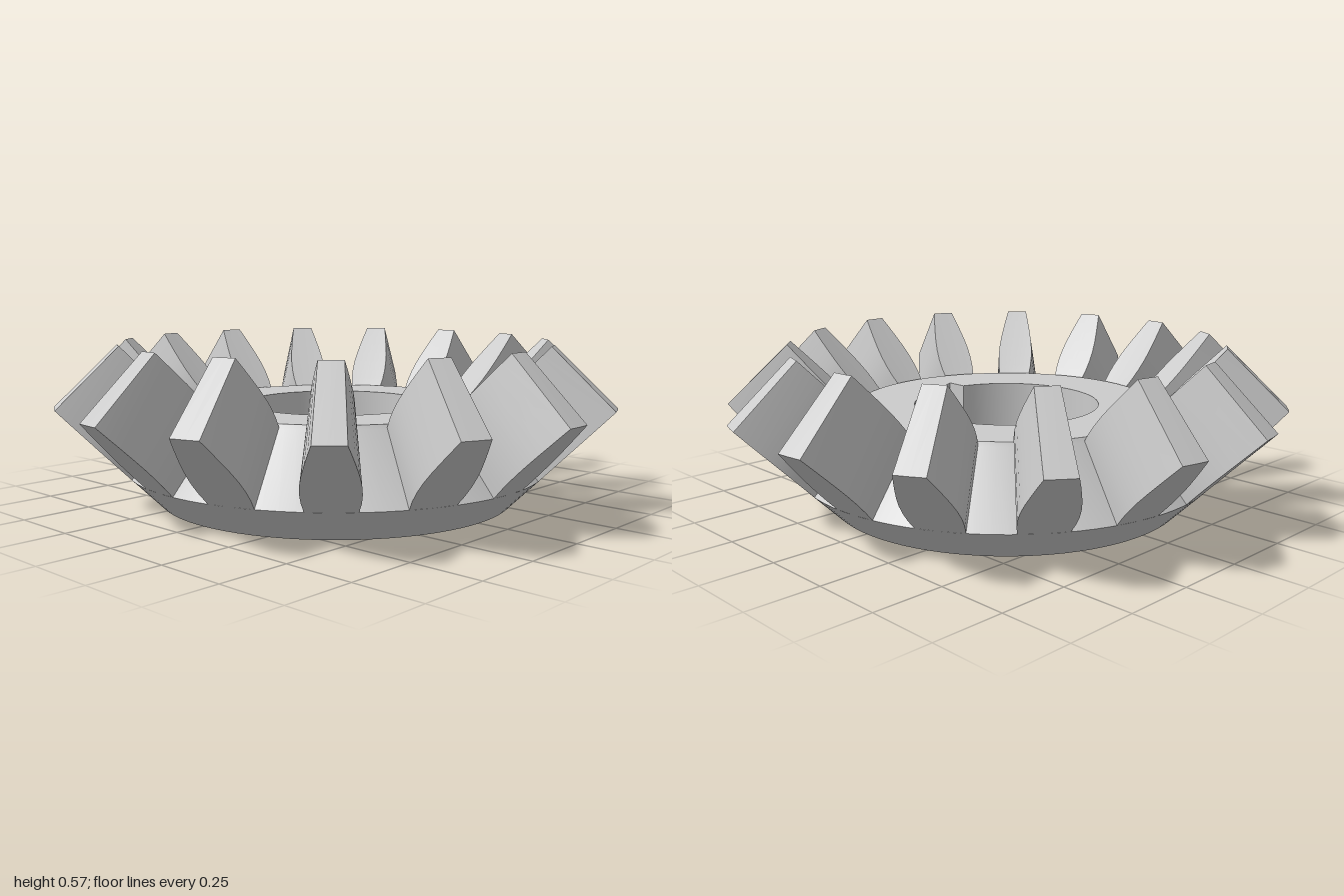
import * as THREE from 'three';
import { toCreasedNormals } from 'three/addons/utils/BufferGeometryUtils.js';

const TEETH = 15;
const material = new THREE.MeshStandardMaterial({ color: 0xcccccc });

function part(name, geometry) {
  const mesh = new THREE.Mesh(toCreasedNormals(geometry, 0.5), material);
  mesh.name = name;
  return mesh;
}

// Hub: thick washer with a keyed bore
function hubGeometry() {
  const height = 0.345, bore = 0.336, keyHalf = 0.082, keyDepth = 0.405;
  const shape = new THREE.Shape().absarc(0, 0, 0.55, 0, Math.PI * 2);
  const a = Math.asin(keyHalf / bore);
  const hole = new THREE.Path();
  hole.moveTo(keyHalf, -keyDepth);
  hole.absarc(0, 0, bore, -Math.PI / 2 + a, Math.PI * 1.5 - a, false);
  hole.lineTo(-keyHalf, -keyDepth);
  hole.closePath();
  shape.holes.push(hole);
  return new THREE.ExtrudeGeometry(shape, { depth: height, bevelEnabled: false, curveSegments: 60 })
    .rotateX(-Math.PI / 2);
}

// Rim: back cone below, root cone above
function rimGeometry() {
  const profile = [[0.55, 0], [0.645, 0], [0.76, 0.115], [0.56, 0.33], [0.55, 0.345]];
  return new THREE.LatheGeometry(profile.map(([r, y]) => new THREE.Vector2(r, y)), 90);
}

// Tooth: a curved flank profile, given as half angles from root to tip,
// swept from the outer end to the inner end
function toothGeometry() {
  const halfWidths = [0.082, 0.09, 0.0925, 0.09, 0.083, 0.073, 0.062, 0.05];
  const rows = halfWidths.length - 1;
  const ends = [
    { r0: 0.76, y0: 0.115, r1: 1.001, y1: 0.36 },
    { r0: 0.558, y0: 0.335, r1: 0.782, y1: 0.572 },
  ];
  const point = (side, row, end) => {
    const t = row / rows, e = ends[end];
    const angle = side * halfWidths[row] / (0.76 + 0.24 * t);
    const r = THREE.MathUtils.lerp(e.r0, e.r1, t);
    return [r * Math.sin(angle), THREE.MathUtils.lerp(e.y0, e.y1, t), r * Math.cos(angle)];
  };
  const positions = [];
  const quad = (a, b, c, d) => positions.push(...a, ...b, ...c, ...a, ...c, ...d);

  for (let i = 0; i < rows; i++) {
    // Flanks
    quad(point(1, i, 0), point(1, i, 1), point(1, i + 1, 1), point(1, i + 1, 0));
    quad(point(-1, i, 1), point(-1, i, 0), point(-1, i + 1, 0), point(-1, i + 1, 1));
    // Outer and inner end faces
    for (const s of [-1, 0]) {
      quad(point(s, i, 0), point(s + 1, i, 0), point(s + 1, i + 1, 0), point(s, i + 1, 0));
      quad(point(s + 1, i, 1), point(s, i, 1), point(s, i + 1, 1), point(s + 1, i + 1, 1));
    }
  }
  // Tip land
  for (const s of [-1, 0]) {
    quad(point(s, rows, 0), point(s + 1, rows, 0), point(s + 1, rows, 1), point(s, rows, 1));
  }
  const geometry = new THREE.BufferGeometry();
  geometry.setAttribute('position', new THREE.Float32BufferAttribute(positions, 3));
  return geometry;
}

export function createModel() {
  const gear = new THREE.Group();
  gear.name = 'bevelGear';
  gear.add(part('hub', hubGeometry()), part('rim', rimGeometry()));

  const teeth = new THREE.Group();
  teeth.name = 'teeth';
  const tooth = part('tooth', toothGeometry());
  for (let i = 0; i < TEETH; i++) {
    const copy = tooth.clone();
    copy.rotation.y = (i / TEETH) * Math.PI * 2;
    teeth.add(copy);
  }
  gear.add(teeth);

  // An odd tooth count makes the front reach further than the back
  gear.position.z = -0.0065;
  const model = new THREE.Group();
  model.add(gear);
  return model;
}
